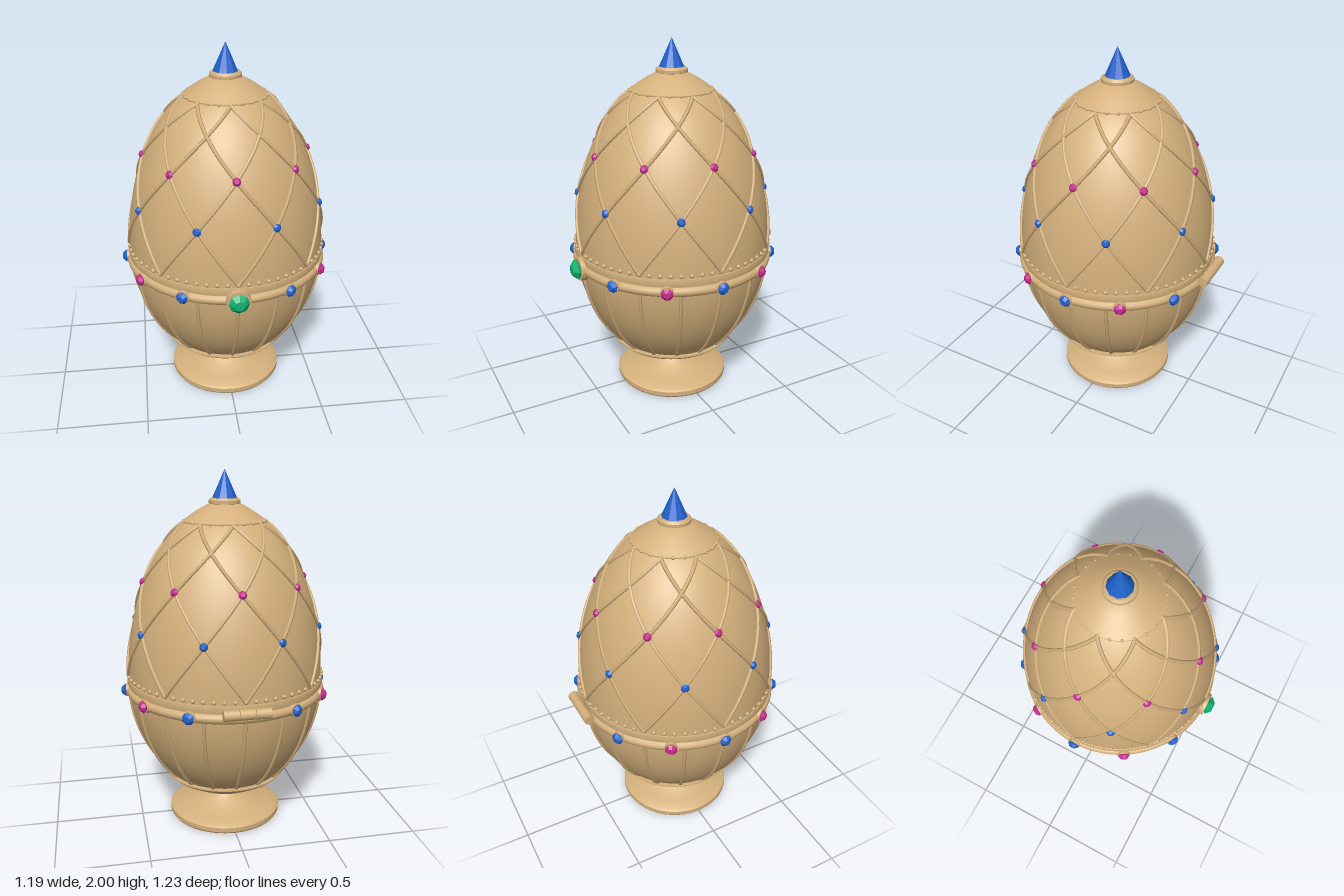
import * as THREE from 'three';
import { toCreasedNormals } from 'three/addons/utils/BufferGeometryUtils.js';

const mat = (name, color, flatShading = false) =>
  Object.assign(new THREE.MeshStandardMaterial({ color, flatShading }), { name });

// Egg surface: two half ellipsoids joined at the widest point
const MID = 0.85, WIDE = 0.55, UP = 0.96, DOWN = 0.7;
const eggRadius = (y) => {
  const t = (y - MID) / (y > MID ? UP : DOWN);
  return WIDE * Math.sqrt(Math.max(0, 1 - t * t));
};
const eggPoint = (angle, y, lift = 0) => {
  const r = eggRadius(y) + lift;
  return new THREE.Vector3(r * Math.sin(angle), y, r * Math.cos(angle));
};
const eggNormal = (angle, y) => {
  const half = y > MID ? UP : DOWN;
  const r = eggRadius(y) / WIDE ** 2;
  return new THREE.Vector3(r * Math.sin(angle), (y - MID) / half ** 2, r * Math.cos(angle)).normalize();
};

export function createModel() {
  const gold = mat('gold', 0xd4b07c);
  const blue = mat('sapphire blue', 0x1f62cc, true);
  const pink = mat('ruby pink', 0xc42c8e, true);
  const green = mat('emerald green', 0x10b272, true);

  const model = new THREE.Group();
  model.name = 'jewelledEgg';
  const group = (name) => {
    const g = new THREE.Group();
    g.name = name;
    model.add(g);
    return g;
  };
  const add = (parent, name, geometry, material) => {
    const m = new THREE.Mesh(geometry, material);
    m.name = name;
    parent.add(m);
    return m;
  };
  const lathe = (name, pts, segments = 64) => add(model, name, toCreasedNormals(
    new THREE.LatheGeometry(pts.map(([r, y]) => new THREE.Vector2(r, y)), segments), 0.6), gold);

  // Egg shell, lower and upper halves
  const shell = (from, to) => Array.from({ length: 25 }, (_, i) => {
    const a = from + (to - from) * i / 24;
    return [Math.max(0, WIDE * Math.cos(a)), MID + (a > 0 ? UP : DOWN) * Math.sin(a)];
  });
  lathe('lowerShell', shell(-Math.PI / 2, 0));
  lathe('upperShell', shell(0, Math.PI / 2));

  // Hollow foot and the cup that holds the egg
  lathe('foot', [[0, 0.09], [0.08, 0.09], [0.12, 0.08], [0.19, 0.05], [0.28, 0.028], [0.3, 0.008],
    [0.318, 0], [0.325, 0.01], [0.325, 0.036], [0.31, 0.047], [0.25, 0.06], [0.19, 0.082],
    [0.14, 0.108], [0.105, 0.135], [0.095, 0.16]]);
  add(model, 'footBolt', new THREE.CylinderGeometry(0.016, 0.016, 0.05, 12), gold).position.y = 0.07;
  lathe('cup', [[0, 0.148], [0.1, 0.15], [0.15, 0.163], [0.21, 0.19], [0.26, 0.219], [0.3, 0.243],
    [0.33, 0.262], [0.35, 0.28], [0.35, 0.287], [0.31, 0.287]]);

  // Girdle: rounded band below, thin lip of the lid above
  const band = add(model, 'girdleBand', new THREE.TorusGeometry(0.54, 0.028, 12, 96), gold);
  band.rotation.x = Math.PI / 2;
  band.position.y = 0.795;
  lathe('girdleLip', [[0.54, 0.826], [0.555, 0.828], [0.558, 0.85], [0.555, 0.866], [0.54, 0.868]], 96);

  // Crown cap and collar
  lathe('crownCap', [[0.2, 1.718], [0.225, 1.72], [0.226, 1.732], [0.18, 1.765], [0.13, 1.797],
    [0.085, 1.82], [0, 1.825]]);
  lathe('crownCollar', [[0.07, 1.815], [0.086, 1.822], [0.086, 1.838], [0.075, 1.85], [0, 1.85]], 32);
  add(model, 'finialGem', new THREE.ConeGeometry(0.068, 0.152, 10), blue).position.y = 1.924;

  // Beaded rings
  const beadRing = (name, count, radius, y, size) => {
    const ring = group(name), bead = new THREE.SphereGeometry(size, 10, 6);
    for (let i = 0; i < count; i++) {
      const a = i / count * Math.PI * 2;
      add(ring, 'bead', bead, gold).position.set(radius * Math.sin(a), y, radius * Math.cos(a));
    }
  };
  beadRing('girdleBeads', 64, 0.551, 0.884, 0.012);
  beadRing('crownBeads', 24, 0.222, 1.729, 0.01);

  // Crossing trellis wires; s counts the crossings passed on the way up
  const STEP = Math.PI / 8;
  const trellisY = (s) => 0.88 + 0.305 * s - 0.02 * s * s - 0.0023 * s * (s - 1) * (s - 2);
  const trellis = group('trellis');
  for (const dir of [-1, 1]) {
    const path = Array.from({ length: 17 }, (_, i) => eggPoint(dir * STEP * i / 4, trellisY(i / 4), 0.002));
    const wire = new THREE.TubeGeometry(new THREE.CatmullRomCurve3(path), 48, 0.01, 6);
    for (let i = 0; i < 8; i++) add(trellis, 'trellisWire', wire, gold).rotation.y = i * STEP * 2;
  }

  // Upright ribs on the lower half
  const ribs = group('lowerRibs');
  const ribPath = Array.from({ length: 10 }, (_, i) => eggPoint(0, 0.27 + i * 0.057, 0.001));
  const rib = new THREE.TubeGeometry(new THREE.CatmullRomCurve3(ribPath), 24, 0.01, 6);
  for (let i = 0; i < 16; i++) add(ribs, 'rib', rib, gold).rotation.y = i * STEP;

  // Faceted gem: girdle, sloped crown and flat table, with an optional setting
  const gemGeometry = (r, h) => new THREE.LatheGeometry([[0, 0], [r * 0.85, 0], [r, h * 0.35],
    [r * 0.5, h], [0, h]].map(([x, y]) => new THREE.Vector2(x, y)), 8);
  const outward = new THREE.Vector3(0, 1, 0);
  const placeGem = (parent, geometry, material, position, normal, setting) => {
    const g = new THREE.Group();
    g.name = 'gemSetting';
    g.position.copy(position);
    g.quaternion.setFromUnitVectors(outward, normal);
    add(g, 'gem', geometry, material);
    if (setting) add(g, 'setting', setting, gold);
    parent.add(g);
  };

  // Small gems where the wires cross
  const trellisGems = group('trellisGems'), small = gemGeometry(0.023, 0.018);
  for (let i = 0; i < 8; i++) {
    for (const [s, material] of [[1, blue], [2, pink]]) {
      const a = (2 * i + s) * STEP, y = trellisY(s);
      placeGem(trellisGems, small, material, eggPoint(a, y, 0.004), eggNormal(a, y));
    }
  }

  // Girdle gems, the large one in front and the hinge behind
  const girdleGems = group('girdleGems');
  const settingGeometry = (r, h) => new THREE.CylinderGeometry(r * 0.95, r, h, 24).translate(0, -h / 2 + 0.003, 0);
  const medium = gemGeometry(0.034, 0.027), mediumSetting = settingGeometry(0.038, 0.035);
  const large = gemGeometry(0.056, 0.04), largeSetting = settingGeometry(0.068, 0.04);
  for (let i = 0; i < 12; i++) {
    if (i === 6) continue;
    const a = i * Math.PI / 6;
    const n = new THREE.Vector3(Math.sin(a), 0, Math.cos(a));
    const p = n.clone().multiplyScalar(i ? 0.566 : 0.575).setY(0.795);
    if (i === 0) placeGem(girdleGems, large, green, p, n, largeSetting);
    else placeGem(girdleGems, medium, i % 2 ? blue : pink, p, n, mediumSetting);
  }

  // Three-knuckle hinge
  const hinge = group('hinge');
  const knuckle = new THREE.CylinderGeometry(0.028, 0.028, 0.08, 16).rotateZ(Math.PI / 2);
  for (const x of [-0.083, 0, 0.083]) add(hinge, 'knuckle', knuckle, gold).position.set(x, 0.833, -0.586);

  return model;
}
